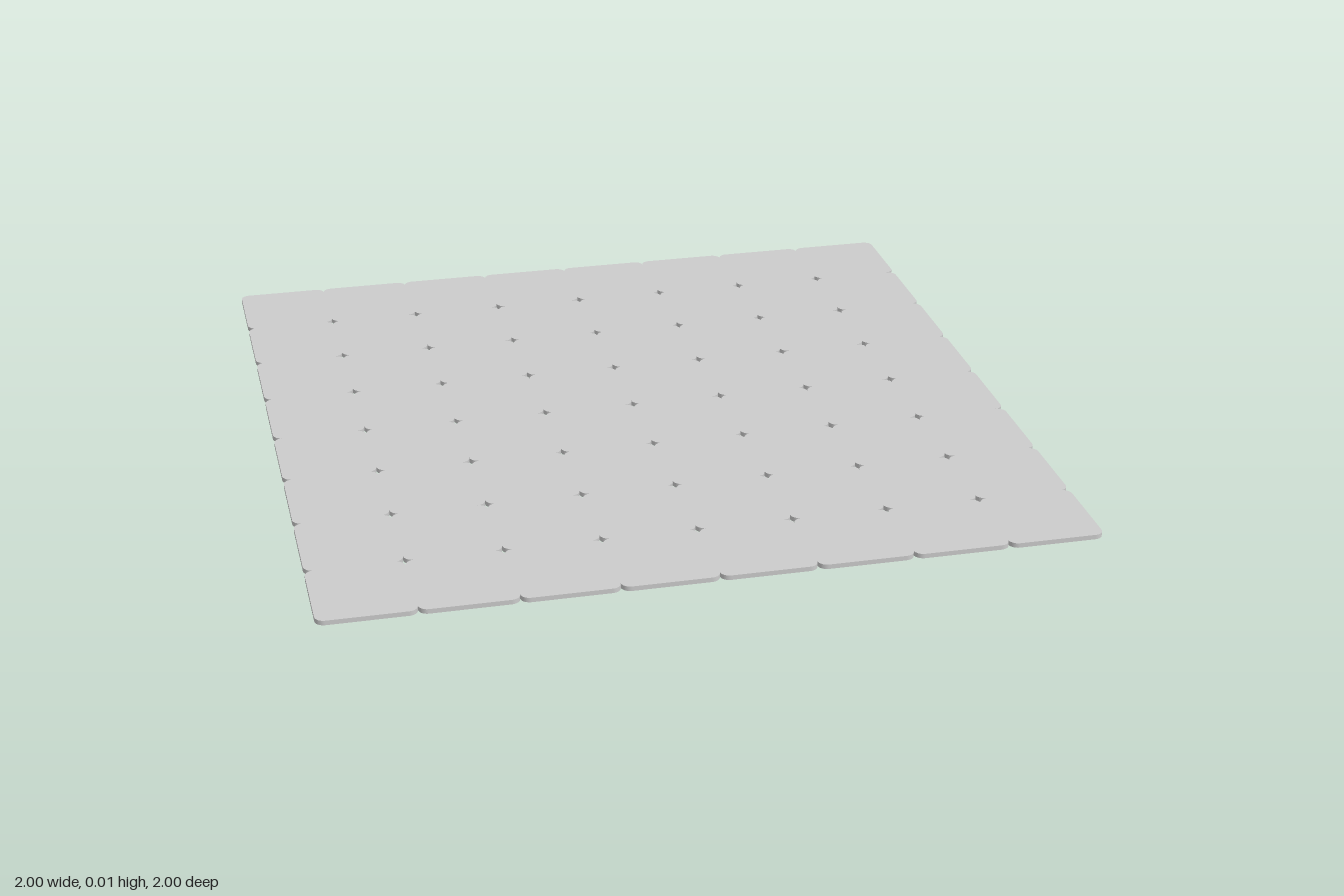
import * as THREE from 'three';

const COUNT = 8;        // tiles per side
const SIZE = 2 / COUNT; // tile width
const RADIUS = 0.024;   // corner rounding
const THICK = 0.0125;

// Square outline with rounded corners, centred on the origin
function tileShape() {
  const h = SIZE / 2, c = h - RADIUS, q = Math.PI / 2;
  const s = new THREE.Shape();
  s.moveTo(h, -c);
  s.lineTo(h, c);
  s.absarc(c, c, RADIUS, 0, q);
  s.lineTo(-c, h);
  s.absarc(-c, c, RADIUS, q, 2 * q);
  s.lineTo(-h, -c);
  s.absarc(-c, -c, RADIUS, 2 * q, 3 * q);
  s.lineTo(c, -h);
  s.absarc(c, -c, RADIUS, 3 * q, 4 * q);
  return s;
}

export function createModel() {
  const group = new THREE.Group();
  group.name = 'tiledFloor';
  const material = new THREE.MeshStandardMaterial({ color: 0xcccccc });

  // Thin slab lying flat on the ground
  const geometry = new THREE.ExtrudeGeometry(tileShape(), {
    depth: THICK, bevelEnabled: false, curveSegments: 8,
  });
  geometry.rotateX(-Math.PI / 2);

  // Touching tiles; rounded corners leave star-shaped gaps where four meet
  for (let row = 0; row < COUNT; row++) {
    for (let col = 0; col < COUNT; col++) {
      const tile = new THREE.Mesh(geometry, material);
      tile.name = `tileRow${row + 1}Column${col + 1}`;
      tile.position.set((col + 0.5) * SIZE - 1, 0, (row + 0.5) * SIZE - 1);
      group.add(tile);
    }
  }
  return group;
}
